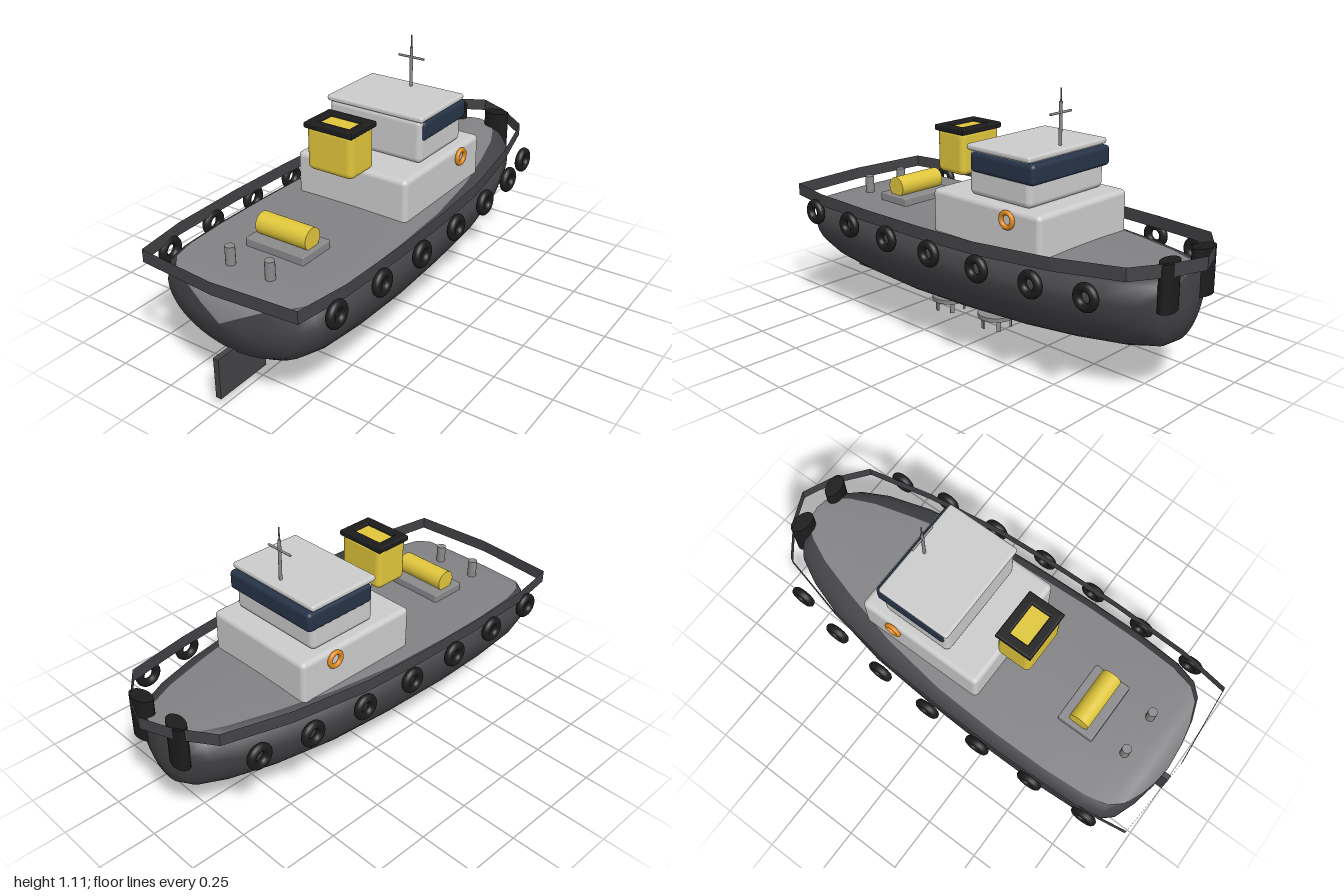
import * as THREE from 'three';
import { RoundedBoxGeometry } from 'three/addons/geometries/RoundedBoxGeometry.js';

const mat = (color, extra = {}) => new THREE.MeshStandardMaterial({ color, ...extra });
const grey = mat(0xcccccc);
const hullDark = mat(0x434246);
const deckGrey = mat(0x828285);
const bulwarkMat = mat(0x434246, { side: THREE.DoubleSide, flatShading: true });
const rubber = mat(0x1c1c1d);
const yellow = mat(0xe0c63c);
const navy = mat(0x263347);
const orange = mat(0xe08a1e);
const steel = mat(0x8a8a8c);

// Surface through rows of points, all rows the same length
function loft(rows) {
  const n = rows[0].length, index = [];
  for (let i = 0; i < rows.length - 1; i++) {
    for (let j = 0; j < n - 1; j++) {
      const a = i * n + j, b = a + n;
      index.push(a, a + 1, b, a + 1, b + 1, b);
    }
  }
  const g = new THREE.BufferGeometry();
  g.setAttribute('position', new THREE.Float32BufferAttribute(rows.flat(2), 3));
  g.setIndex(index);
  g.computeVertexNormals();
  return g;
}

// Hull stations from bow to stern: z, half beam, keel y, widest y, deck y, deck half width
const stations = [
  [-0.935, 0.0, 0.36, 0.44, 0.508, 0.0],
  [-0.93, 0.08, 0.31, 0.44, 0.508, 0.055],
  [-0.9, 0.155, 0.235, 0.44, 0.507, 0.09],
  [-0.85, 0.208, 0.2, 0.44, 0.505, 0.125],
  [-0.74, 0.265, 0.175, 0.44, 0.502, 0.175],
  [-0.55, 0.325, 0.152, 0.435, 0.497, 0.23],
  [-0.3, 0.37, 0.132, 0.43, 0.492, 0.29],
  [0.0, 0.39, 0.117, 0.425, 0.488, 0.332],
  [0.3, 0.4, 0.112, 0.42, 0.486, 0.345],
  [0.55, 0.4, 0.125, 0.42, 0.485, 0.345],
  [0.75, 0.388, 0.147, 0.415, 0.485, 0.333],
  [0.85, 0.362, 0.172, 0.41, 0.484, 0.31],
  [0.9, 0.315, 0.205, 0.4, 0.48, 0.265],
  [0.935, 0.22, 0.255, 0.385, 0.455, 0.18],
  [0.957, 0.11, 0.31, 0.37, 0.41, 0.09],
  [0.967, 0.0, 0.36, 0.36, 0.36, 0.0],
];

function hullSection([z, w, keel, mid, top, deckW]) {
  const pts = [[-deckW, top, z], [-(w * 0.65 + deckW * 0.35), top * 0.65 + mid * 0.35, z]];
  for (let i = 0; i <= 24; i++) {
    const a = (i / 24) * Math.PI;
    pts.push([-w * Math.cos(a), mid - (mid - keel) * Math.sin(a), z]);
  }
  pts.push([w * 0.65 + deckW * 0.35, top * 0.65 + mid * 0.35, z], [deckW, top, z]);
  return pts;
}

export function createModel() {
  const model = new THREE.Group();
  const add = (name, geometry, material, x = 0, y = 0, z = 0, parent = model) => {
    const m = new THREE.Mesh(geometry, material);
    m.name = name;
    m.position.set(x, y, z);
    parent.add(m);
    return m;
  };
  // Rounded box from its extents in y and z, centred on x = 0
  const block = (name, width, y0, y1, z0, z1, r, material) =>
    add(name, new RoundedBoxGeometry(width, y1 - y0, z1 - z0, 3, r), material, 0, (y0 + y1) / 2, (z0 + z1) / 2);
  const rod = (name, r, y0, y1, x, z, material, sides = 16, parent = model) =>
    add(name, new THREE.CylinderGeometry(r, r, y1 - y0, sides), material, x, (y0 + y1) / 2, z, parent);

  // Hull and deck
  add('hull', loft(stations.map(hullSection)), hullDark);
  add('deck', loft(stations.map(([z, , , , top, d]) =>
    [1, 0.5, 0, -0.5, -1].map((k) => [k * d, top + 0.006 * (1 - k * k), z]))), deckGrey);

  // Bulwark: a thin faceted band rising to the bow
  const side = [[0.13, -0.945], [0.27, -0.84], [0.34, -0.55], [0.39, -0.2],
    [0.405, 0.1], [0.41, 0.4], [0.4, 0.74], [0.365, 0.967]];
  const path = [[0, -1], ...side, [0, 0.995], ...side.map(([x, z]) => [-x, z]).reverse(), [0, -1]];
  add('bulwark', loft(path.map(([x, z]) => {
    const y = 0.495 + 0.04 * Math.max(0, -z) ** 2;
    return [[x, y, z], [x, y + 0.054, z]];
  })), bulwarkMat);

  // Tyre fenders along both sides: z, x
  const tyres = [[0.796, 0.4], [0.535, 0.415], [0.276, 0.425], [0.016, 0.425],
    [-0.244, 0.415], [-0.5, 0.392], [-0.727, 0.35]];
  const tyreGeo = new THREE.TorusGeometry(0.039, 0.018, 12, 28).rotateY(Math.PI / 2);
  const ringGeo = new THREE.TorusGeometry(0.03, 0.01, 12, 28).rotateY(Math.PI / 2);
  const bowGeo = new THREE.CylinderGeometry(0.058, 0.058, 0.19, 24).scale(1, 1, 0.58);
  for (const s of [1, -1]) {
    for (const [z, x] of tyres) add('tyreFender', tyreGeo, rubber, s * x, 0.457, z);
    add('bowFender', bowGeo, rubber, s * 0.11, 0.485, -0.912).rotation.y = s * 0.15;
    add('lifebuoy', ringGeo, orange, s * 0.275, 0.625, -0.27);
    rod('bollard', 0.02, 0.48, 0.567, s * 0.095, 0.785, steel);
  }

  // Superstructure
  block('deckhouse', 0.54, 0.47, 0.67, -0.435, 0.155, 0.022, grey);
  block('wheelhouse', 0.456, 0.668, 0.86, -0.345, -0.015, 0.025, grey);
  block('windowBand', 0.472, 0.765, 0.85, -0.37, -0.03, 0.018, navy);
  block('roof', 0.472, 0.852, 0.878, -0.35, -0.01, 0.011, grey);

  // Mast
  rod('mast', 0.007, 0.87, 1.052, 0, -0.3, steel);
  rod('antenna', 0.003, 1.05, 1.105, 0, -0.3, steel, 8);
  add('crossbar', new THREE.CylinderGeometry(0.005, 0.005, 0.126, 10).rotateZ(Math.PI / 2), steel, 0, 1.008, -0.3);

  // Funnel with a framed cap
  block('funnel', 0.22, 0.685, 0.878, 0.138, 0.298, 0.025, yellow);
  const rect = (path2d, w, d) => path2d.moveTo(-w, -d).lineTo(w, -d).lineTo(w, d).lineTo(-w, d).closePath();
  const cap = rect(new THREE.Shape(), 0.109, 0.078);
  cap.holes.push(rect(new THREE.Path(), 0.08, 0.049));
  add('funnelCap', new THREE.ExtrudeGeometry(cap, {
    depth: 0.015, bevelThickness: 0.006, bevelSize: 0.006, bevelSegments: 3,
  }).rotateX(-Math.PI / 2), rubber, 0, 0.869, 0.218);

  // Towing winch
  block('winchBase', 0.28, 0.47, 0.525, 0.48, 0.65, 0.006, steel);
  add('winchDrum', new THREE.CylinderGeometry(0.046, 0.046, 0.24, 28).rotateZ(Math.PI / 2), yellow, 0, 0.56, 0.565);

  // Skeg fin
  add('fin', new THREE.BoxGeometry(0.025, 0.175, 0.258), hullDark, 0, 0.137, 0.87);

  // Cycloidal thrusters with five blades each
  for (const z of [0.348, 0.054]) {
    const thruster = new THREE.Group();
    thruster.name = 'thruster';
    thruster.position.z = z;
    model.add(thruster);
    rod('hub', 0.026, 0.06, 0.14, 0, 0, hullDark, 20, thruster);
    rod('disc', 0.082, 0.048, 0.066, 0, 0, steel, 32, thruster);
    for (let i = 0; i < 5; i++) {
      const a = (i / 5) * Math.PI * 2;
      const blade = add('blade', new THREE.BoxGeometry(0.008, 0.052, 0.02), steel,
        0.065 * Math.sin(a), 0.026, 0.065 * Math.cos(a), thruster);
      blade.rotation.y = a + Math.PI / 2;
    }
  }
  return model;
}
